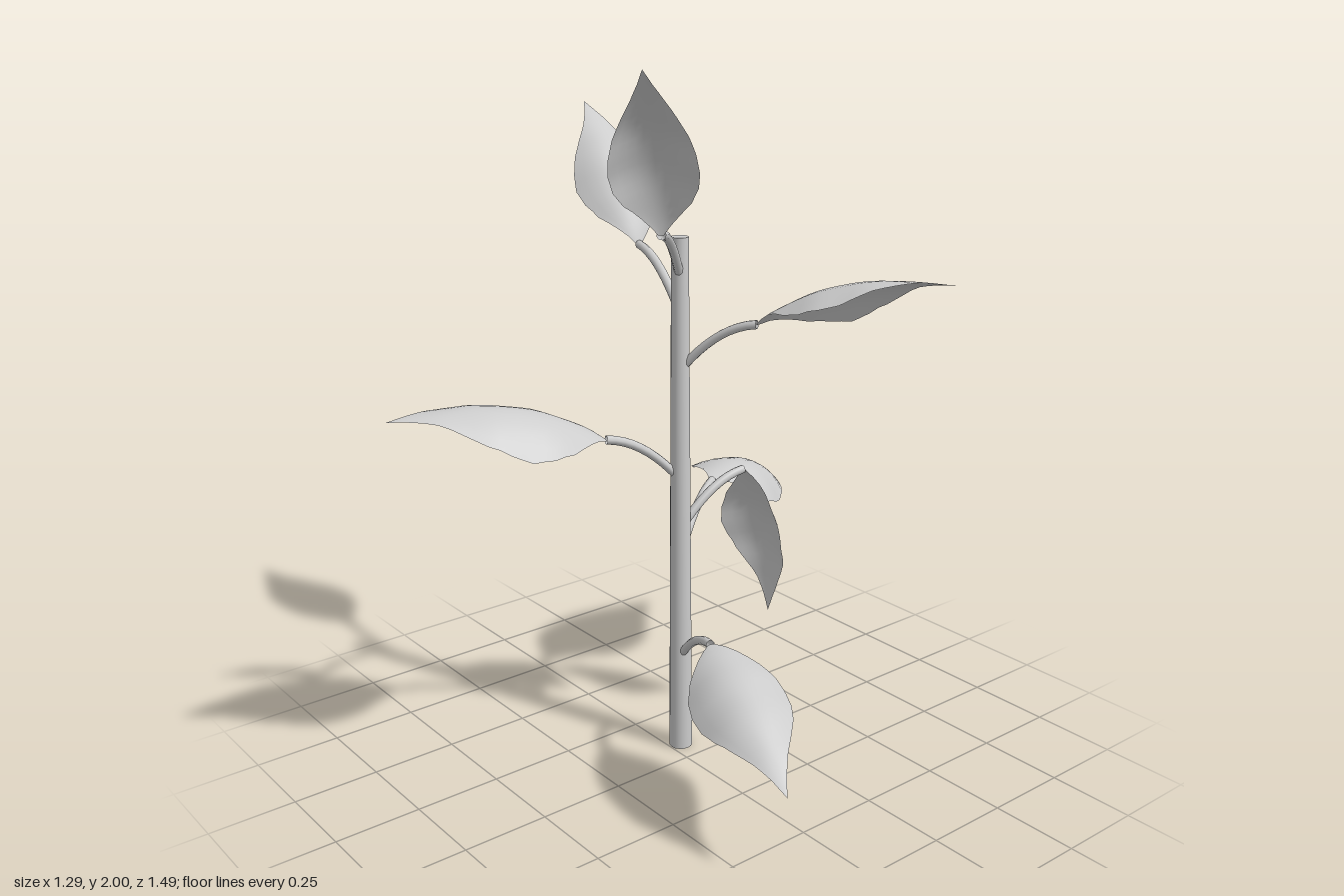
import * as THREE from 'three';

const STEM_X = -0.075, STEM_Z = -0.037, STEM_HEIGHT = 1.53;
const V = (x, y, z) => new THREE.Vector3(x, y, z);

// Half-width of a leaf along its length, from base to pointed tip
const WIDTHS = [0.06, 0.42, 0.75, 0.94, 1, 0.95, 0.82, 0.6, 0.36, 0.16, 0];
function leafWidth(t) {
  const f = t * (WIDTHS.length - 1), i = Math.min(Math.floor(f), WIDTHS.length - 2);
  return THREE.MathUtils.lerp(WIDTHS[i], WIDTHS[i + 1], f - i);
}

// Cupped blade: a grid bent along the midrib, with the sides curling down
function leafBlade(base, tip, roll) {
  const along = tip.clone().sub(base), length = along.length();
  along.normalize();
  const out = V(base.x - STEM_X, 0, base.z - STEM_Z).normalize();
  const side = V(0, 1, 0).cross(out);
  side.addScaledVector(along, -side.dot(along)).normalize().applyAxisAngle(along, roll);
  const up = along.clone().cross(side).normalize();

  const geo = new THREE.PlaneGeometry(1, 1, 10, 20);
  const pos = geo.attributes.position;
  for (let i = 0; i < pos.count; i++) {
    const v = pos.getX(i) * 2, t = pos.getY(i) + 0.5;
    const w = leafWidth(t);
    const bow = 0.107 * Math.sin(Math.PI * Math.pow(t, 0.9));
    const curl = 0.135 * w * w * v * v;
    const ripple = 0.006 * Math.sin(t * 24 + v) * Math.abs(v) * w;
    const p = base.clone()
      .addScaledVector(along, t * length)
      .addScaledVector(side, v * w * 0.24 * length)
      .addScaledVector(up, length * (bow - curl + ripple));
    pos.setXYZ(i, p.x, p.y, p.z);
  }
  geo.computeVertexNormals();
  return geo;
}

// Leaf stalk arching out of the stem
function leafStalk(startY, end) {
  const start = V(STEM_X, startY, STEM_Z);
  const bend = start.clone().lerp(end, 0.5);
  bend.y = startY + (end.y - startY) * 0.92;
  const curve = new THREE.QuadraticBezierCurve3(start, bend, end);
  return new THREE.TubeGeometry(curve, 10, 0.0125, 8);
}

export function createModel() {
  const group = new THREE.Group();
  const grey = new THREE.MeshStandardMaterial({ color: 0xcccccc, side: THREE.DoubleSide });
  grey.name = 'plantGrey';
  const add = (name, geo, parent) => {
    const mesh = new THREE.Mesh(geo, grey);
    mesh.name = name;
    parent.add(mesh);
    return mesh;
  };

  // Tapering stem
  add('stem', new THREE.CylinderGeometry(0.024, 0.034, STEM_HEIGHT, 16), group)
    .position.set(STEM_X, STEM_HEIGHT / 2, STEM_Z);

  // Leaves: stalk start height, leaf base, leaf tip, roll about the midrib
  const leaves = [
    [0.29, V(0.141, 0.43, 0.03), V(0.641, 0.25, 0.195), 0.17],
    [0.61, V(-0.195, 0.755, -0.254), V(-0.487, 0.566, -0.751), 0.27],
    [0.69, V(-0.053, 0.83, -0.252), V(-0.04, 0.36, -0.347), -0.22],
    [0.84, V(-0.137, 0.985, 0.173), V(-0.308, 1.106, 0.743), -0.13],
    [1.16, V(0.113, 1.307, -0.15), V(0.576, 1.455, -0.412), -0.32],
    [1.32, V(-0.308, 1.47, -0.076), V(-0.648, 1.836, -0.135), 0],
    [1.42, V(0.08, 1.577, 0.147), V(0.215, 1.998, 0.305), 0.14],
  ];
  leaves.forEach(([startY, base, tip, roll], i) => {
    const leaf = new THREE.Group();
    leaf.name = `leaf${i + 1}`;
    add('leafStalk', leafStalk(startY, base), leaf);
    add('leafBlade', leafBlade(base, tip, roll), leaf);
    group.add(leaf);
  });

  return group;
}
